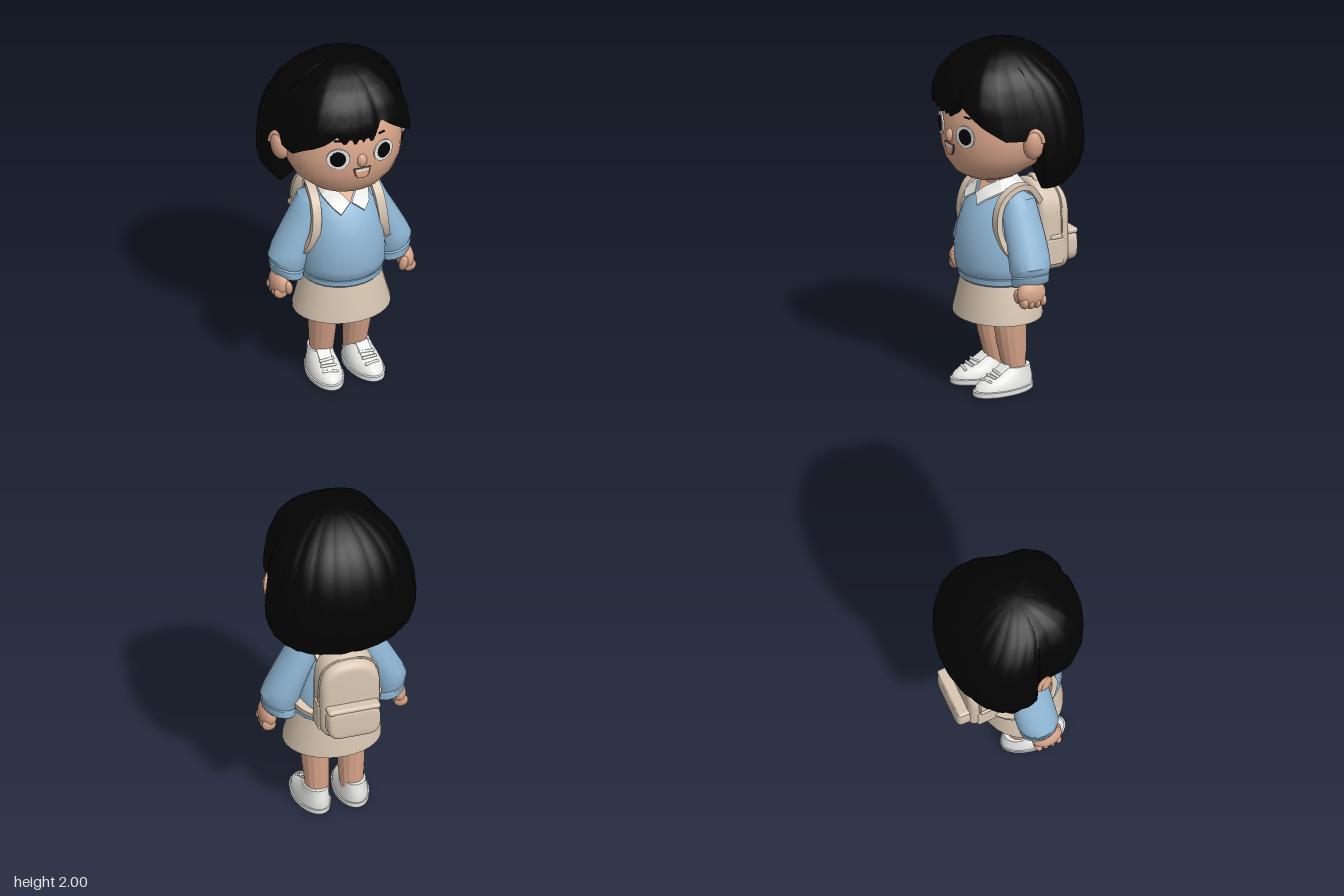
import * as THREE from 'three';
import { toCreasedNormals } from 'three/addons/utils/BufferGeometryUtils.js';
import { RoundedBoxGeometry } from 'three/addons/geometries/RoundedBoxGeometry.js';

const V = (x, y, z) => new THREE.Vector3(x, y, z);

// Skin closed rings of points into a surface, with optional end caps
function skin(rings, caps = true, crease = 0.6) {
  const n = rings[0].length, pts = rings.flat(), index = [];
  for (let i = 0; i < rings.length - 1; i++) for (let j = 0; j < n; j++) {
    const a = i * n + j, b = i * n + (j + 1) % n;
    index.push(a, b, b + n, a, b + n, a + n);
  }
  if (caps) [0, rings.length - 1].forEach((r, end) => {
    const c = V(0, 0, 0);
    rings[r].forEach(p => c.addScaledVector(p, 1 / n));
    const k = pts.push(c) - 1;
    for (let j = 0; j < n; j++) {
      const a = r * n + j, b = r * n + (j + 1) % n;
      index.push(k, end ? a : b, end ? b : a);
    }
  });
  const g = new THREE.BufferGeometry().setFromPoints(pts);
  g.setIndex(index);
  return toCreasedNormals(g, crease);
}

// Stack of horizontal ovals; each row is [y, xMin, xMax, zBack, zFront]
function loft(rows, { seg = 24, caps = true, tilt = 0, crease = 0.6 } = {}) {
  return skin(rows.map(([y, x0, x1, zb, zf]) => Array.from({ length: seg }, (_, j) => {
    const a = j / seg * Math.PI * 2, dx = (x1 - x0) / 2 * Math.sin(a);
    return V((x0 + x1) / 2 + dx, y + tilt * dx, (zb + zf) / 2 + (zf - zb) / 2 * Math.cos(a));
  })), caps, crease);
}
const sym = rows => rows.map(([y, r, zb, zf]) => [y, -r, r, zb, zf]);

// Linear lookup in a table sorted by its first column
function lookup(table, key, col) {
  let i = 1;
  while (i < table.length - 1 && table[i][0] < key) i++;
  const a = table[i - 1], b = table[i];
  return THREE.MathUtils.lerp(a[col], b[col], THREE.MathUtils.clamp((key - a[0]) / (b[0] - a[0]), 0, 1));
}

// Hair silhouette: [y, half width, zBack, zFront, zCentre]
const HAIR = [[1.2, .3, -.285, .33, -.1], [1.25, .365, -.335, .34, -.1], [1.32, .408, -.375, .35, -.1],
  [1.42, .427, -.402, .36, -.1], [1.6, .41, -.39, .385, -.1], [1.72, .382, -.36, .398, -.08],
  [1.82, .337, -.305, .36, -.05], [1.9, .267, -.232, .3, 0], [1.96, .178, -.14, .21, .02],
  [1.99, .1, -.06, .13, .03], [2, .005, .025, .035, .03]];
// Hair lower edge: [angle from the front, y]
const HEM = [[-180, 1.21], [-79, 1.21], [-76, 1.56], [-64, 1.53], [-52, 1.54], [-43, 1.59], [-30, 1.64],
  [-22, 1.69], [-15, 1.63], [-11, 1.68], [-7, 1.62], [-3, 1.67], [0, 1.63], [3, 1.67], [7, 1.62], [12, 1.69],
  [17, 1.75], [25, 1.7], [33, 1.65], [43, 1.59], [52, 1.54], [64, 1.53], [76, 1.56], [79, 1.21], [180, 1.21]];
// Fuller fringe corners and tucked-in temples: [angle from the front, factor]
const FULLNESS = [[0, 1], [20, 1.03], [38, 1.09], [52, 1.06], [64, .96], [76, .96], [84, 1]];

function hairGeometry() {
  const N = 180, ROWS = 18;
  const point = (j, v, shrink, lift) => {
    const deg = j * 360 / N - 180, a = deg * Math.PI / 180;
    const back = Math.abs(deg) > 79;
    const hem = lookup(HEM, deg, 1) + (back ? 0.025 * (1 - Math.abs(Math.sin(a * 7))) : 0);
    const y = hem + (2 - hem) * (1 - (1 - v) ** 2);
    const [rx, zb, zf, cz] = [1, 2, 3, 4].map(c => lookup(HAIR, y, c));
    const parting = 0.025 * Math.exp(-(((deg - 15) / 4) ** 2)) * (1 - v);
    const s = shrink * lookup(FULLNESS, Math.abs(deg), 1)
      * (1 - parting - (back ? 0.018 * (1 - Math.abs(Math.sin(a * 10))) : 0));
    const c = Math.cos(a);
    return V(rx * Math.sin(a) * s, y + lift, cz + (c > 0 ? zf - cz : cz - zb) * c * s);
  };
  const ring = (v, shrink = 1, lift = 0) => Array.from({ length: N }, (_, j) => point(j, v, shrink, lift));
  const rings = [ring(0, 0.3, 0.09), ring(0, 0.75, 0.03)];
  for (let i = 0; i <= ROWS; i++) rings.push(ring(i / ROWS));
  return skin(rings, true, 0.9);
}

// Flat strap along a path, kept wide along x
function strapGeometry(points, width, thick) {
  const curve = new THREE.CatmullRomCurve3(points), S = V(1, 0, 0);
  return skin(Array.from({ length: 33 }, (_, i) => {
    const p = curve.getPoint(i / 32), N = S.clone().cross(curve.getTangent(i / 32)).normalize();
    return [[1, -1], [1, 1], [-1, 1], [-1, -1]].map(([n, s]) =>
      p.clone().addScaledVector(N, n * thick / 2).addScaledVector(S, s * width / 2));
  }));
}

// Bag panel with an arched top and soft edges
function archGeometry(w, y0, y1, rTop, rLow, depth, bevel) {
  const s = new THREE.Shape(), shoulder = y1 - rTop * 1.3;
  s.moveTo(-w + rLow, y0).lineTo(w - rLow, y0).quadraticCurveTo(w, y0, w, y0 + rLow)
    .lineTo(w, shoulder).quadraticCurveTo(w, y1, w - rTop, y1)
    .lineTo(-w + rTop, y1).quadraticCurveTo(-w, y1, -w, shoulder)
    .lineTo(-w, y0 + rLow).quadraticCurveTo(-w, y0, -w + rLow, y0);
  return new THREE.ExtrudeGeometry(s, { depth, bevelEnabled: true, bevelSize: bevel,
    bevelThickness: bevel, bevelSegments: 4, curveSegments: 8 });
}

// Slope the top of the bag down towards its back, after placing it at depth z
function slopeTop(geo, z) {
  geo.translate(0, 0, z);
  const p = geo.attributes.position;
  for (let i = 0; i < p.count; i++)
    p.setY(i, p.getY(i) - Math.max(0, p.getY(i) - .9) * Math.max(0, -.11 - p.getZ(i)));
  return toCreasedNormals(geo, 0.6);
}

export function createModel() {
  const model = new THREE.Group();
  const mat = (name, color, side = THREE.FrontSide) => {
    const m = new THREE.MeshStandardMaterial({ color, side });
    m.name = name;
    return m;
  };
  const hair = mat('black', 0x020202, THREE.DoubleSide), skinTone = mat('skin', 0xd6a388),
    blue = mat('sweater blue', 0x8fb6d4), tan = mat('tan', 0xd8c6b2), white = mat('white', 0xebebe9, THREE.DoubleSide),
    mouthDark = mat('mouth brown', 0x5e4238), tongue = mat('tongue peach', 0xe2a283);
  const add = (name, geo, material, parent = model, pos = [0, 0, 0], scale = [1, 1, 1], rot = [0, 0, 0]) => {
    const m = new THREE.Mesh(geo, material);
    m.name = name;
    m.position.set(...pos); m.scale.set(...scale); m.rotation.set(...rot);
    parent.add(m);
    return m;
  };
  const ball = new THREE.SphereGeometry(1, 20, 14);
  const disc = new THREE.CylinderGeometry(1, 1, 1, 28).rotateX(Math.PI / 2);

  // Head and hair
  add('head', loft(sym([[1.235, .06, .08, .19], [1.246, .13, .02, .25], [1.28, .205, -.06, .305], [1.34, .28, -.15, .345],
    [1.42, .322, -.2, .365], [1.5, .332, -.22, .368], [1.6, .325, -.22, .355], [1.7, .295, -.2, .31],
    [1.8, .2, -.1, .2]]), { seg: 32, crease: 0.9 }), skinTone);
  add('hair', hairGeometry(), hair);
  add('nose', ball, skinTone, model, [0, 1.503, .356], [.03, .042, .032]);
  add('neck', loft(sym([[1.08, .085, -.015, .13], [1.3, .08, -.015, .13]])), skinTone);

  // Mouth: thin stacked plates
  const smile = (w, top, bottom) => {
    const s = new THREE.Shape();
    s.moveTo(-w, top).bezierCurveTo(-w * .9, bottom, -w * .5, bottom, 0, bottom)
      .bezierCurveTo(w * .5, bottom, w * .9, bottom, w, top).lineTo(-w, top);
    return new THREE.ExtrudeGeometry(s, { depth: 0.006, bevelEnabled: false });
  };
  add('mouth', smile(.05, 1.46, 1.395), mouthDark, model, [0, 0, .362]);
  add('teeth', smile(.042, 1.455, 1.437), white, model, [0, 0, .365]);
  add('tongue', smile(.039, 1.443, 1.399), tongue, model, [0, 0, .364]);

  // Torso, neckline, collar and skirt
  add('sweaterBody', loft(sym([[.685, .228, -.145, .275], [.7, .236, -.15, .288], [.75, .24, -.15, .3], [.85, .235, -.13, .295],
    [.95, .22, -.11, .28], [1.04, .205, -.09, .245], [1.1, .19, -.07, .2], [1.15, .165, -.05, .15],
    [1.19, .11, -.02, .12]])), blue);
  add('sweaterHem', loft(sym([[.64, .22, -.14, .265], [.65, .23, -.148, .274], [.682, .233, -.15, .278], [.695, .225, -.14, .27]])), blue);
  const vNeck = new THREE.BufferGeometry().setFromPoints([V(0, 1.13, .195), V(.08, 1.22, .1), V(-.08, 1.22, .1)]);
  vNeck.computeVertexNormals();
  add('neckOpening', vNeck, skinTone);
  add('skirt', loft(sym([[.62, .205, -.14, .25], [.43, .264, -.165, .29], [.43, .275, -.175, .3], [.45, .273, -.174, .298],
    [.66, .215, -.145, .258]]), { seg: 32, caps: false }), tan);

  // Collar flap: inner and outer edge from the front round to the nape
  const edge = [[V(.004, 1.135, .2), V(.07, 1.088, .232)], [V(.045, 1.18, .16), V(.108, 1.125, .2)],
    [V(.086, 1.215, .09), V(.136, 1.16, .115)], [V(.088, 1.222, .02), V(.13, 1.175, -.005)],
    [V(.055, 1.222, -.03), V(.08, 1.17, -.065)], [V(0, 1.222, -.045), V(0, 1.165, -.08)]];
  const collar = skin(edge.map(([i, o]) => {
    const up = V(0, .008, .004);
    return [i, i.clone().add(up), o.clone().add(up), o];
  }));

  // Paired parts, built on the left side and mirrored
  const path = [V(.12, 1.07, -.13), V(.15, 1.17, -.05), V(.172, 1.192, .04), V(.183, 1.14, .135), V(.193, 1.04, .175),
    V(.207, .94, .17), V(.232, .84, .125), V(.245, .77, .02), V(.2, .735, -.1), V(.15, .72, -.15)];
  for (const [sideName, s] of [['left', 1], ['right', -1]]) {
    const half = new THREE.Group();
    half.name = sideName + 'Side';
    half.scale.x = s;
    model.add(half);

    // Eye, brow and ear
    const eye = new THREE.Group();
    eye.name = 'eye';
    eye.position.set(.132, 1.53, .343);
    eye.rotation.y = 0.33;
    half.add(eye);
    add('eyeWhite', disc, white, eye, [0, 0, 0], [.065, .063, .009]);
    add('pupil', disc, hair, eye, [.002, 0, .004], [.044, .046, .006]);
    add('eyebrow', new THREE.BoxGeometry(.04, .007, .008), hair, half, [.13, 1.637, .331], [1, 1, 1], [0, .35, 0]);
    add('ear', ball, skinTone, half, [.35, 1.503, .035], [.052, .093, .062], [0, 0, -.14]);
    add('earRim', new THREE.TorusGeometry(.05, .013, 8, 18, 4.4), skinTone, half, [.372, 1.518, .045], [.95, 1.3, 1], [0, 1.0, 0]);

    add('collarFlap', collar, white, half);

    // Arm
    add('sleeve', loft([[1.17, .1, .175, .0, .08], [1.12, .08, .24, -.07, .13], [1.04, .1, .275, -.08, .14],
      [.93, .15, .335, -.085, .145], [.82, .19, .392, -.085, .15], [.765, .205, .414, -.08, .152],
      [.73, .215, .405, -.07, .14]].reverse(), { tilt: .25, seg: 20 }), blue, half);
    add('cuff', loft([[.67, .23, .395, -.06, .135], [.68, .222, .404, -.068, .143], [.722, .218, .41, -.07, .146],
      [.738, .23, .395, -.06, .135]], { tilt: .3, seg: 20 }), blue, half);
    add('hand', ball, skinTone, half, [.368, .645, .064], [.05, .078, .087], [0, 0, .12]);
    for (let i = 0; i < 4; i++)
      add('finger', ball, skinTone, half, [.378, .594 + Math.abs(i - 1.5) * .006, .004 + i * .038], [.04, .036, .023]);
    add('thumb', ball, skinTone, half, [.34, .63, .13], [.025, .048, .025], [.2, 0, -.2]);

    // Leg
    add('leg', loft([[.06, .04, .16, -.05, .07], [.13, .03, .165, -.05, .08], [.28, .025, .178, -.05, .12],
      [.44, .02, .185, -.05, .145], [.56, .02, .19, -.05, .15]], { seg: 14, crease: 0.3 }), skinTone, half);

    // Shoe, turned slightly outward
    const shoe = new THREE.Group();
    shoe.name = 'shoe';
    shoe.position.set(.108, 0, 0);
    shoe.rotation.y = 0.07;
    half.add(shoe);
    add('sole', loft(sym([[0, .09, -.085, .275], [.008, .098, -.093, .284], [.034, .099, -.094, .284], [.038, .09, -.088, .276]])), white, shoe);
    add('upper', loft(sym([[.03, .093, -.09, .278], [.058, .09, -.09, .266], [.082, .083, -.088, .23], [.108, .074, -.08, .155],
      [.145, .066, -.072, .1]])), white, shoe);
    add('tongueFlap', new RoundedBoxGeometry(.075, .014, .1, 2, .006), white, shoe, [0, .128, .115], [1, 1, 1], [.55, 0, 0]);
    for (let i = 0; i < 3; i++)
      add('lace', new THREE.CapsuleGeometry(.008, .075, 4, 8), white, shoe, [0, .122 - i * .018, .14 + i * .034], [1, 1, 1], [0, (i - 1) * .15, Math.PI / 2]);

    add('backpackStrap', strapGeometry(path, .052, .032), tan, half);
    add('sidePocket', new RoundedBoxGeometry(.03, .15, .11, 3, .012), tan, half, [.163, .775, -.205]);
    add('sideBuckle', new RoundedBoxGeometry(.02, .025, .07, 2, .008), tan, half, [.17, .86, -.21]);
  }

  // Backpack
  const bag = new THREE.Group();
  bag.name = 'backpack';
  model.add(bag);
  add('bagBody', slopeTop(archGeometry(.13, .692, 1.135, .12, .055, .11, .04), -.262), tan, bag);
  add('frontPocket', toCreasedNormals(archGeometry(.125, .71, .845, .035, .05, .06, .025), 0.6), tan, bag, [0, 0, -.34]);
  add('pocketFlap', new RoundedBoxGeometry(.3, .032, .075, 3, .015), tan, bag, [0, .865, -.325]);
  const seam = new THREE.CatmullRomCurve3([[-.171, .88], [-.17, .98], [-.148, 1.11], [-.08, 1.165], [0, 1.174],
    [.08, 1.165], [.148, 1.11], [.17, .98], [.171, .88]].map(([x, y]) => V(x, y, 0)));
  add('zipPiping', slopeTop(new THREE.TubeGeometry(seam, 40, .007, 6), -.245), tan, bag);
  add('topHandle', new THREE.TorusGeometry(.042, .014, 8, 16, Math.PI), tan, bag, [0, 1.135, -.16]);

  return model;
}
